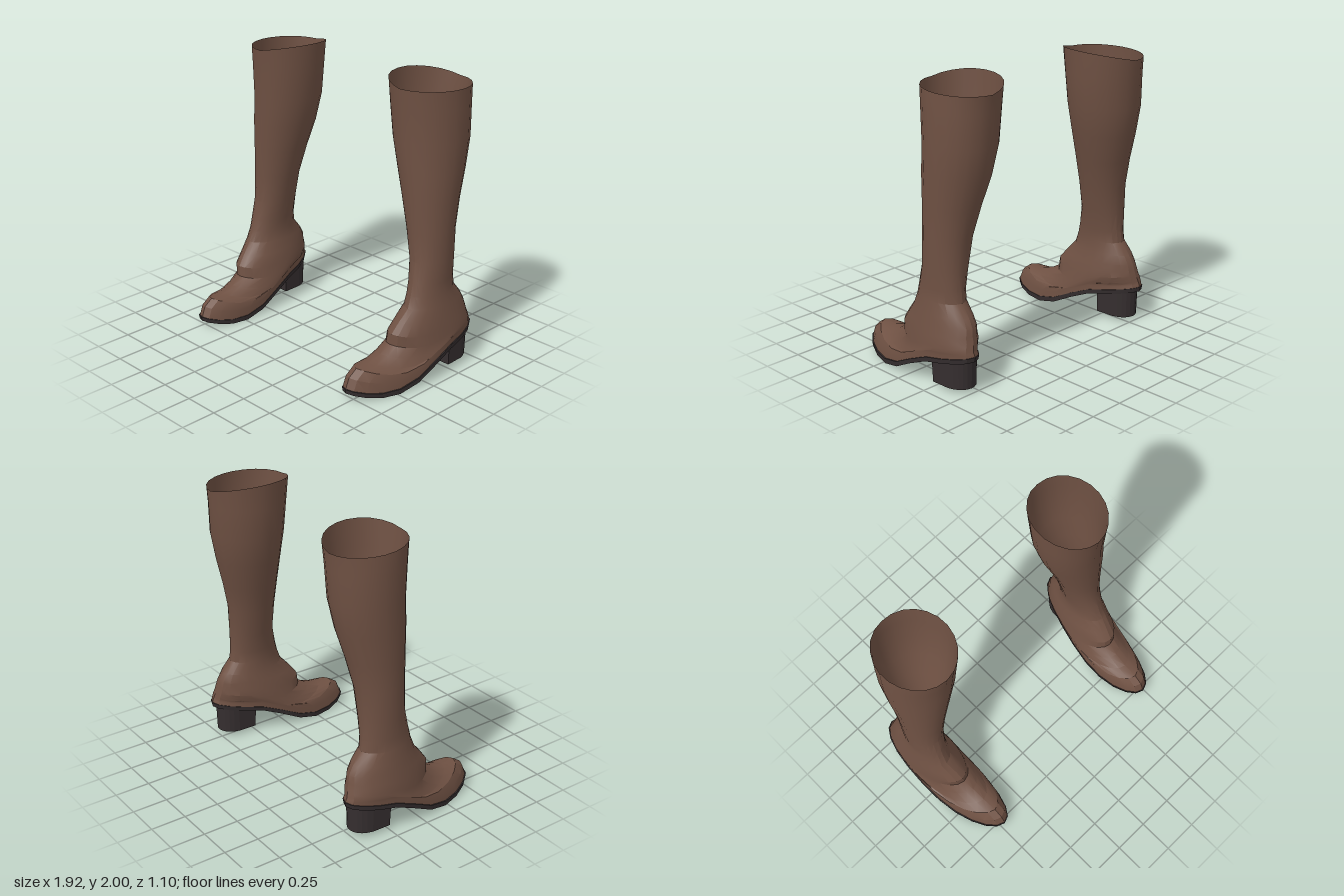
import * as THREE from 'three';
import { toCreasedNormals } from 'three/addons/utils/BufferGeometryUtils.js';

const N = 22; // points per ring, starting at the front

// Each ring: [front z, front y, back z, back y, inner x, outer x, sag, skew, inner lift]
const SHAFT = [
  [0.01, 1.96, -0.553, 1.94, 0.41, 0.905, 0, 0.02, 0.05],
  [-0.005, 1.82, -0.54, 1.82, 0.42, 0.91, 0, 0.02],
  [-0.02, 1.6, -0.53, 1.6, 0.44, 0.912, 0, 0.02],
  [-0.03, 1.4, -0.49, 1.4, 0.483, 0.91, 0, 0],
  [-0.04, 1.2, -0.435, 1.2, 0.54, 0.9, 0, 0],
  [-0.05, 1.0, -0.39, 1.0, 0.59, 0.897, 0, 0],
  [-0.05, 0.8, -0.378, 0.8, 0.632, 0.895, 0, 0],
  [-0.02, 0.66, -0.375, 0.66, 0.656, 0.893, 0, 0],
  [0.0, 0.58, -0.385, 0.58, 0.66, 0.895, 0, 0],
];
const FOOT = [
  [0.03, 0.5, -0.45, 0.5, 0.65, 0.915, 0, 0],
  [0.1, 0.42, -0.485, 0.44, 0.632, 0.922, 0.1, 0.02],
  [0.155, 0.35, -0.495, 0.39, 0.615, 0.938, 0.3, 0.04],
  [0.16, 0.275, -0.505, 0.355, 0.605, 0.942, 0.4, 0.05],
  [0.24, 0.23, -0.512, 0.33, 0.6, 0.946, 0.6, 0.07],
  [0.34, 0.2, -0.518, 0.31, 0.595, 0.948, 0.8, 0.08],
  [0.45, 0.2, -0.522, 0.295, 0.592, 0.948, 0.95, 0.09],
  [0.515, 0.155, -0.527, 0.285, 0.59, 0.948, 1, 0.09],
  [0.543, 0.085, -0.532, 0.268, 0.588, 0.948, 1, 0.09],
];
const SOLE = [
  [0.55, 0.085, -0.538, 0.27, 0.584, 0.956, 1, 0.09],
  [0.545, 0.055, -0.53, 0.235, 0.588, 0.952, 1.05, 0.09],
];

// Oval ring whose middle sags towards the ball of the foot
function ringPoints([zF, yF, zB, yB, xIn, xOut, sag, skew, lift = 0], side) {
  return Array.from({ length: N }, (_, i) => {
    const a = (i / N) * Math.PI * 2;
    const t = (1 - Math.cos(a)) / 2;
    const dip = 0.1 * Math.sin(Math.PI * Math.min(1, t / 0.65));
    const x = (xIn + xOut) / 2 + skew * (t - 0.5) + ((xOut - xIn) / 2) * Math.sin(a);
    const y = yF + (yB - yF) * t - sag * dip + lift * Math.max(0, -Math.sin(a));
    return [x * side, y, zF + (zB - zF) * t];
  });
}

// Skin a stack of rings, optionally closing both ends with cross strips
function loft(rings, side, capped, crease) {
  const pos = rings.flatMap((r) => ringPoints(r, side)).flat();
  const index = [];
  const tri = (a, b, c) => {
    if (a === b || b === c || a === c) return;
    index.push(...(side > 0 ? [a, b, c] : [a, c, b]));
  };
  const quad = (a, b, c, d) => { tri(a, b, c); tri(a, c, d); };
  for (let k = 0; k < rings.length - 1; k++) {
    for (let i = 0; i < N; i++) {
      const j = (i + 1) % N, top = k * N, low = top + N;
      quad(top + i, low + i, low + j, top + j);
    }
  }
  if (capped) {
    const low = (rings.length - 1) * N;
    for (let i = 0; i < N / 2; i++) {
      const r0 = (N - i) % N, r1 = N - i - 1;
      quad(low + i, low + r0, low + r1, low + i + 1);
      quad(i, i + 1, r1, r0);
    }
  }
  const g = new THREE.BufferGeometry();
  g.setAttribute('position', new THREE.Float32BufferAttribute(pos, 3));
  g.setIndex(index);
  return toCreasedNormals(g, crease);
}

// Block heel: flat front, rounded back
function heelGeometry(side) {
  const s = new THREE.Shape();
  const x = (v) => v * side;
  s.moveTo(x(0.685), 0.24);
  s.lineTo(x(0.92), 0.24);
  s.lineTo(x(0.915), 0.38);
  s.quadraticCurveTo(x(0.89), 0.49, x(0.805), 0.495);
  s.quadraticCurveTo(x(0.71), 0.49, x(0.69), 0.38);
  s.closePath();
  const g = new THREE.ExtrudeGeometry(s, { depth: 0.2, bevelEnabled: false, curveSegments: 5 });
  g.rotateX(-Math.PI / 2); // shape y runs towards the back
  g.translate(0, 0.035, 0);
  // Slightly narrower towards the ground
  const p = g.attributes.position;
  for (let i = 0; i < p.count; i++) {
    if (p.getY(i) < 0.1) {
      p.setX(i, 0.8 * side + (p.getX(i) - 0.8 * side) * 0.94);
      p.setZ(i, -0.37 + (p.getZ(i) + 0.37) * 0.96);
    }
  }
  g.computeVertexNormals();
  return g;
}

export function createModel() {
  const leather = new THREE.MeshStandardMaterial({ color: 0x6f5143, side: THREE.DoubleSide });
  leather.name = 'brown leather';
  const rubber = new THREE.MeshStandardMaterial({ color: 0x352e2f });
  rubber.name = 'dark sole';

  const model = new THREE.Group();
  model.name = 'boots';
  for (const side of [1, -1]) {
    const boot = new THREE.Group();
    boot.name = side > 0 ? 'leftBoot' : 'rightBoot';
    const add = (name, geometry, material) => {
      const mesh = new THREE.Mesh(geometry, material);
      mesh.name = name;
      boot.add(mesh);
    };
    add('upper', loft([...SHAFT, ...FOOT], side, false, 0.4), leather);
    add('sole', loft(SOLE, side, true, 0.5), rubber);
    add('heel', heelGeometry(side), rubber);
    model.add(boot);
  }
  return model;
}
